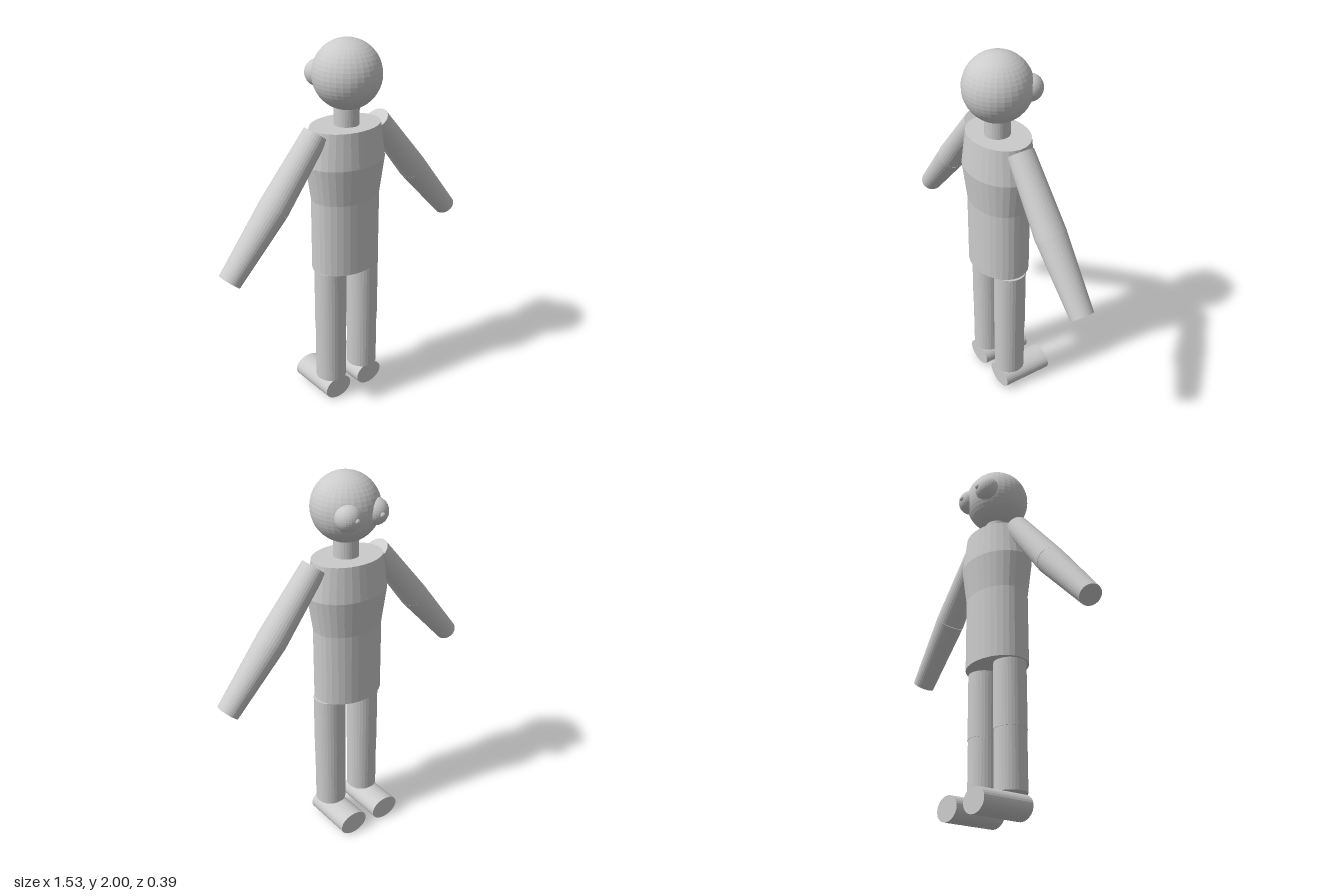
import * as THREE from 'three';

const SIDES = 32;
const CZ = 0.018; // body axis depth
const material = new THREE.MeshStandardMaterial({ color: 0xcccccc, flatShading: true });

function add(parent, name, geometry, x, y, z) {
  const mesh = new THREE.Mesh(geometry, material);
  mesh.name = name;
  mesh.position.set(x, y, z);
  parent.add(mesh);
  return mesh;
}

// Tapered limb between two points [x, y], slightly deeper than wide
function limb(parent, name, a, b, ra, rb, depth = 1) {
  const start = new THREE.Vector3(a[0], a[1], CZ);
  const end = new THREE.Vector3(b[0], b[1], CZ);
  const dir = end.clone().sub(start);
  const geometry = new THREE.CylinderGeometry(rb, ra, dir.length(), SIDES);
  const mid = start.add(end).multiplyScalar(0.5);
  const mesh = add(parent, name, geometry, mid.x, mid.y, mid.z);
  mesh.quaternion.setFromUnitVectors(new THREE.Vector3(0, 1, 0), dir.normalize());
  mesh.scale.z = depth;
}

export function createModel() {
  const model = new THREE.Group();
  model.name = 'figure';

  // Torso: oval section, swelling at the chest
  const profile = [[0, 0.8], [0.193, 0.8], [0.193, 1.195], [0.222, 1.39], [0.196, 1.575], [0, 1.575]];
  const torso = add(model, 'torso',
    new THREE.LatheGeometry(profile.map(([r, y]) => new THREE.Vector2(r, y)), SIDES), -0.006, 0, 0.014);
  torso.scale.z = 0.755;

  // Neck and head
  add(model, 'neck', new THREE.CylinderGeometry(0.065, 0.065, 0.15, SIDES), -0.003, 1.62, 0.02);
  add(model, 'head', new THREE.SphereGeometry(0.174, SIDES, 24), 0, 1.826, 0.02);

  for (const s of [1, -1]) {
    const side = s > 0 ? 'left' : 'right';

    // Eyes look toward -z, each with a small pupil
    add(model, side + 'Eye', new THREE.SphereGeometry(0.068, SIDES, 20), s * 0.08, 1.82, -0.106);
    add(model, side + 'Pupil', new THREE.SphereGeometry(0.015, 16, 12), s * 0.075, 1.818, -0.168);

    // Arms
    const shoulder = [s * 0.193, 1.56], elbow = [s * 0.458, 1.233], wrist = [s * 0.722, 0.93];
    limb(model, side + 'UpperArm', shoulder, elbow, 0.063, 0.075, 1.1);
    limb(model, side + 'Forearm', elbow, wrist, 0.075, 0.057, 1.08);

    // Legs
    limb(model, side + 'Thigh', [s * 0.11, 0.795], [s * 0.11, 0.44], 0.085, 0.085);
    limb(model, side + 'Shin', [s * 0.11, 0.44], [s * 0.11, 0.125], 0.083, 0.083);

    // Feet: oval cylinders lying along z
    const footGeometry = new THREE.CylinderGeometry(0.084, 0.084, 0.285, SIDES).rotateX(Math.PI / 2);
    add(model, side + 'Foot', footGeometry, s * 0.11, 0.064, -0.057).scale.y = 0.064 / 0.084;
  }
  return model;
}
